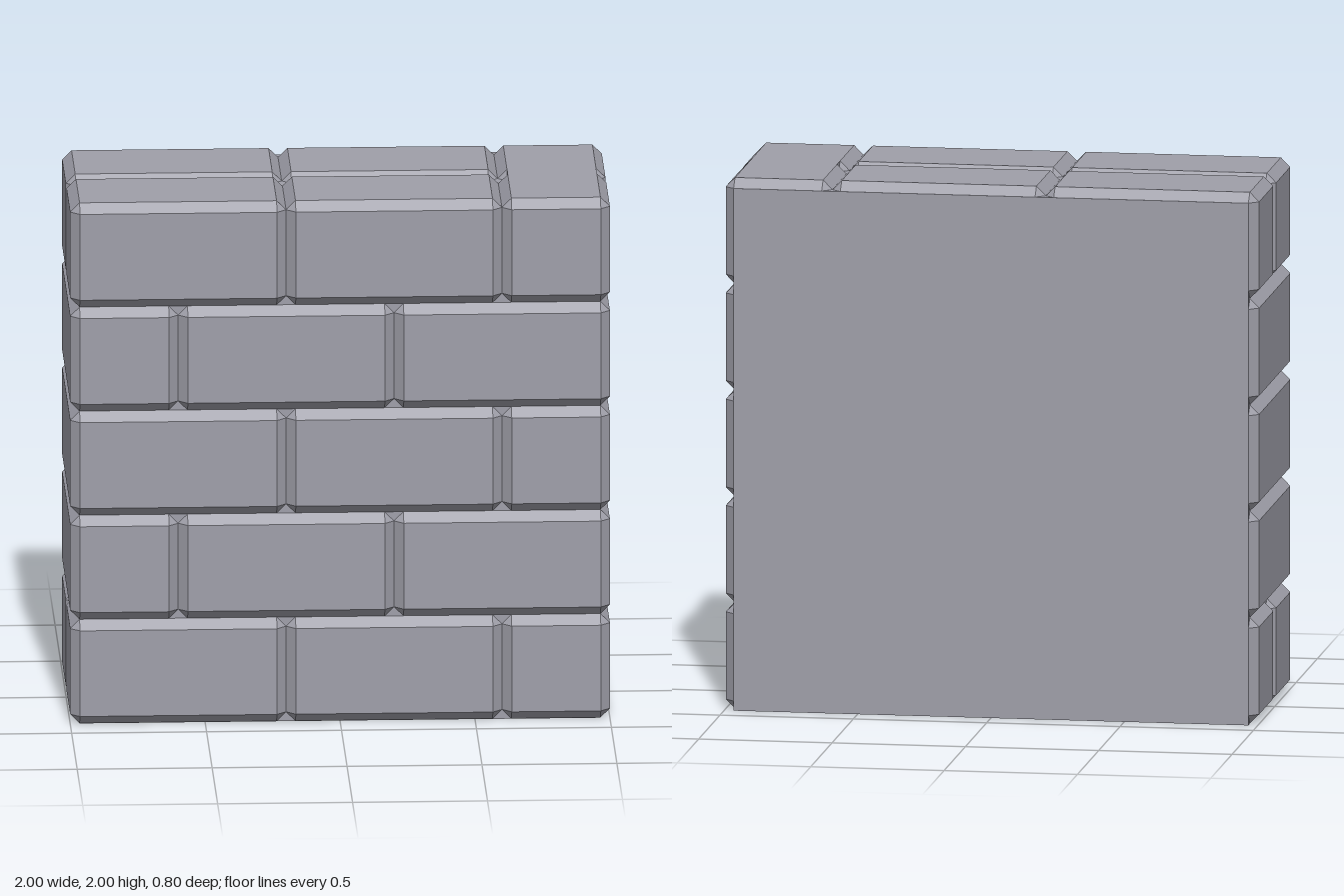
import * as THREE from 'three';
import { ConvexGeometry } from 'three/addons/geometries/ConvexGeometry.js';

const C = 0.035; // chamfer width
const material = new THREE.MeshStandardMaterial({ color: 0x9f9fa9, flatShading: true });

// Box with bevelled edges: three points at each corner
function brickGeometry(w, h, d) {
  const points = [];
  for (const sx of [-1, 1]) for (const sy of [-1, 1]) for (const sz of [-1, 1]) {
    for (let axis = 0; axis < 3; axis++) {
      const half = [w / 2, h / 2, d / 2].map((v, i) => (i === axis ? v : v - C));
      points.push(new THREE.Vector3(sx * half[0], sy * half[1], sz * half[2]));
    }
  }
  return new ConvexGeometry(points);
}

function place(group, name, geometry, x0, x1, y0, y1, z0, z1) {
  const mesh = new THREE.Mesh(geometry, material);
  mesh.name = name;
  mesh.position.set((x0 + x1) / 2, (y0 + y1) / 2, (z0 + z1) / 2);
  group.add(mesh);
}

function brick(group, name, x0, x1, y0, y1, z0, z1) {
  place(group, name, brickGeometry(x1 - x0, y1 - y0, z1 - z0), x0, x1, y0, y1, z0, z1);
}

function block(group, name, x0, x1, y0, y1, z0, z1) {
  place(group, name, new THREE.BoxGeometry(x1 - x0, y1 - y0, z1 - z0), x0, x1, y0, y1, z0, z1);
}

export function createModel() {
  const wall = new THREE.Group();
  wall.name = 'brickWall';

  // Mortar core: gives the flat back and underside and fills the joints
  block(wall, 'core', -1 + C, 1 - C, 0, 2 - C, -0.4, 0.4 - C);

  // Five courses in running bond
  for (let row = 0; row < 5; row++) {
    const course = new THREE.Group();
    course.name = `course${row + 1}`;
    const joints = row % 2 === 0 ? [-1, -0.2, 0.6, 1] : [-1, -0.6, 0.2, 1];
    const y0 = row === 0 ? 0.001 : row * 0.4;
    const y1 = (row + 1) * 0.4;
    for (let i = 0; i < 3; i++) {
      const [x0, x1] = [joints[i], joints[i + 1]];
      // Middle courses have a full-depth brick at the -x end
      if (i === 0 && row > 0 && row < 4) {
        brick(course, 'endBrick', x0, x1, y0, y1, -0.399, 0.4);
      } else {
        brick(course, 'frontBrick', x0, x1, y0, y1, 0, 0.4);
        brick(course, 'backBrick', x0, x1, y0, y1, -0.399, 0);
      }
    }
    wall.add(course);
  }

  // Top of the last header is unbroken apart from the notch at its end
  block(wall, 'headerFill', 0.6 + C, 1 - C, 1.9, 2, -0.04, 0.04);
  return wall;
}
